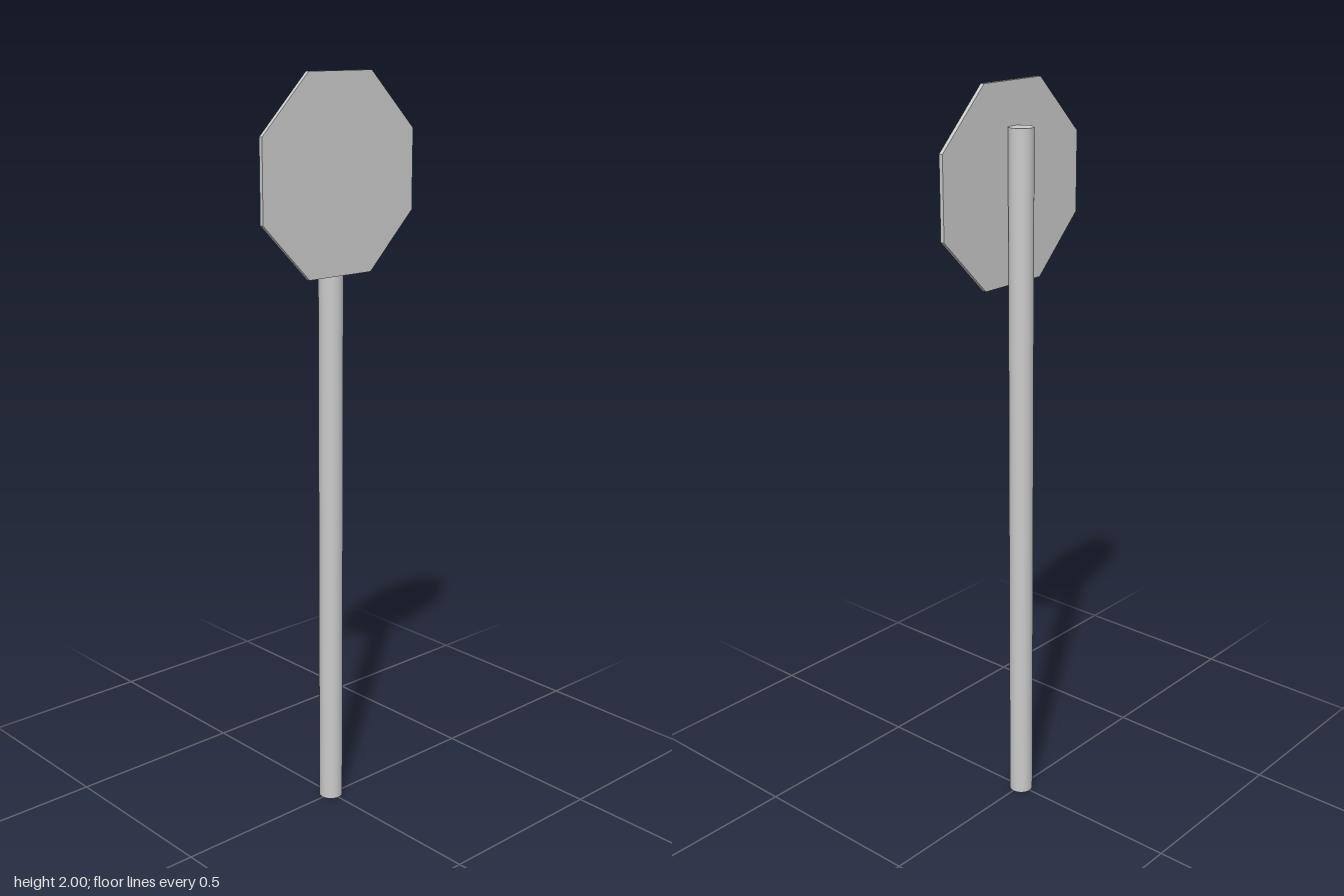
import * as THREE from 'three';

export function createModel() {
  const group = new THREE.Group();
  const material = () => new THREE.MeshStandardMaterial({ color: 0xcccccc });

  // Round upright post
  const postRadius = 0.0325, postHeight = 1.89;
  const post = new THREE.Mesh(
    new THREE.CylinderGeometry(postRadius, postRadius, postHeight, 32), material());
  post.name = 'post';
  post.position.set(0, postHeight / 2, -0.0025);
  group.add(post);

  // Regular octagonal plate, flat side up, fixed to the front of the post
  const apothem = 0.254, thickness = 0.011;
  const radius = apothem / Math.cos(Math.PI / 8);
  const outline = new THREE.Shape(Array.from({ length: 8 }, (_, i) => {
    const a = (i + 0.5) * Math.PI / 4;
    return new THREE.Vector2(radius * Math.cos(a), radius * Math.sin(a));
  }));
  const plate = new THREE.Mesh(
    new THREE.ExtrudeGeometry(outline, { depth: thickness, bevelEnabled: false }), material());
  plate.name = 'signPlate';
  plate.position.set(0, 2 - apothem, 0.035 - thickness);
  group.add(plate);

  return group;
}
